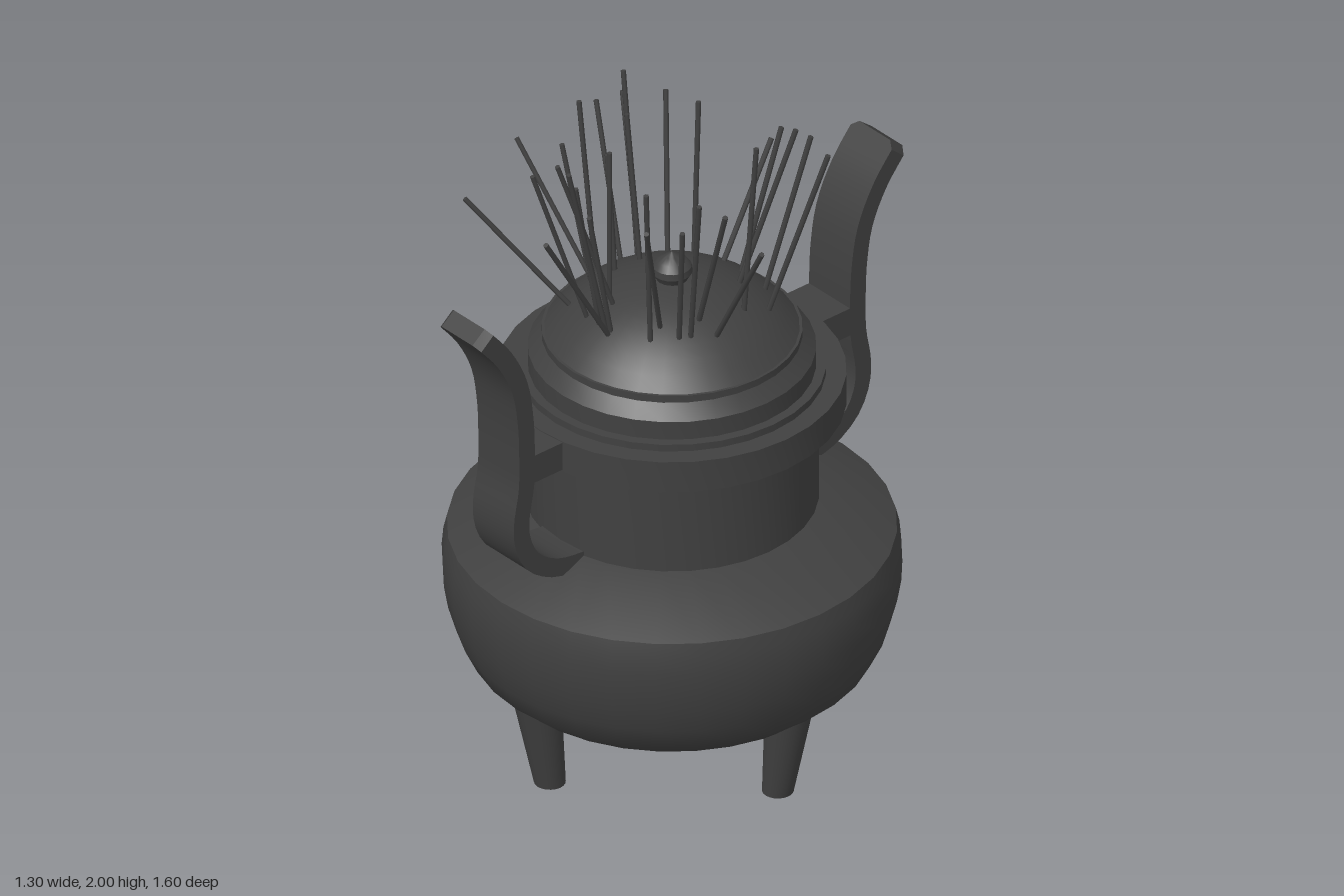
import * as THREE from 'three';
import { toCreasedNormals } from 'three/addons/utils/BufferGeometryUtils.js';

const metal = new THREE.MeshStandardMaterial({ color: 0x404040 });
const SIDES = 32;

function part(parent, name, geometry) {
  const mesh = new THREE.Mesh(geometry, metal);
  mesh.name = name;
  parent.add(mesh);
  return mesh;
}

// Turned part from [radius, height] pairs listed bottom to top
function turned(profile, sides = SIDES) {
  const pts = profile.map(([r, y]) => new THREE.Vector2(r, y));
  return toCreasedNormals(new THREE.LatheGeometry(pts, sides), 0.5);
}

// Lid dome: a shallow spherical cap
const DOME = { radius: 0.475, base: 1.33, edge: 0.36, top: 1.495 };
const domeHeight = (r) => DOME.top - DOME.radius + Math.sqrt(DOME.radius ** 2 - r * r);

// Flat strap swept along a [z, y] path, with chamfered corners at the tip
function strap(path, halfWidth, halfThick) {
  const curve = new THREE.CatmullRomCurve3(path.map(([z, y]) => new THREE.Vector3(0, y, z)));
  const stations = Array.from({ length: 33 }, (_, i) => [0.98 * i / 32, halfWidth]);
  stations.push([1, halfWidth - 0.022]);
  const pos = [];
  const index = [];
  stations.forEach(([t, w], i) => {
    const p = curve.getPointAt(t);
    const d = curve.getTangentAt(t);
    for (const [sx, sn] of [[1, 1], [1, -1], [-1, -1], [-1, 1]]) {
      pos.push(sx * w, p.y - sn * halfThick * d.z, p.z + sn * halfThick * d.y);
    }
    if (i === 0) return;
    for (let k = 0; k < 4; k++) {
      const a = (i - 1) * 4 + k;
      const b = (i - 1) * 4 + (k + 1) % 4;
      index.push(a, b, b + 4, a, b + 4, a + 4);
    }
  });
  const e = (stations.length - 1) * 4;
  index.push(e, e + 1, e + 2, e, e + 2, e + 3, 2, 1, 0, 3, 2, 0);
  const g = new THREE.BufferGeometry();
  g.setAttribute('position', new THREE.Float32BufferAttribute(pos, 3));
  g.setIndex(index);
  return toCreasedNormals(g, 0.5);
}

// Thin rod between two points
function rod(a, b, radius) {
  const dir = b.clone().sub(a);
  const g = new THREE.CylinderGeometry(radius, radius, dir.length(), 6);
  g.applyQuaternion(new THREE.Quaternion().setFromUnitVectors(
    new THREE.Vector3(0, 1, 0), dir.normalize()));
  const mid = a.clone().add(b).multiplyScalar(0.5);
  return g.translate(mid.x, mid.y, mid.z);
}

export function createModel() {
  const model = new THREE.Group();
  model.name = 'censer';

  // Round belly with a sloping shoulder
  part(model, 'belly', turned([
    [0, 0.148], [0.16, 0.15], [0.317, 0.163], [0.44, 0.2], [0.52, 0.24], [0.577, 0.29],
    [0.613, 0.365], [0.635, 0.44], [0.647, 0.51], [0.65, 0.575], [0.645, 0.63], [0.635, 0.672],
    [0.415, 0.775], [0, 0.775],
  ]));

  // Straight neck with a small lip below and above the rim
  part(model, 'neck', turned([
    [0.415, 0.76], [0.415, 1.058], [0.435, 1.058], [0.435, 1.21], [0, 1.21],
  ]));
  part(model, 'rim', turned([
    [0.43, 1.088], [0.492, 1.088], [0.492, 1.188], [0.43, 1.188],
  ]));

  // Stepped lid, dome and knob
  const lid = new THREE.Group();
  lid.name = 'lid';
  model.add(lid);
  part(lid, 'lidBase', turned([
    [0.407, 1.2], [0.407, 1.268], [0.368, 1.308], [0.368, 1.33], [0.3, 1.33],
  ]));
  const dome = Array.from({ length: 11 }, (_, i) => {
    const r = DOME.edge * (1 - i / 10);
    return [r, domeHeight(r)];
  });
  part(lid, 'dome', turned(dome));
  part(lid, 'knob', turned([
    [0.035, 1.47], [0.046, 1.495], [0.058, 1.515], [0.056, 1.535], [0.042, 1.553],
    [0.02, 1.566], [0, 1.58],
  ], 20));

  // Four legs leaning inward towards the feet
  for (let i = 0; i < 4; i++) {
    const leg = new THREE.CylinderGeometry(0.07, 0.045, 0.31, 20);
    const p = leg.attributes.position;
    for (let k = 0; k < p.count; k++) {
      const y = p.getY(k) + 0.155;
      p.setXYZ(k, p.getX(k), y, p.getZ(k) + 0.455 + 0.16 * y);
    }
    part(model, 'leg', toCreasedNormals(leg, 0.6)).rotation.y = i * Math.PI / 2;
  }

  // Upswept handles at front and back, each joined to the rim by a block
  const handlePath = [
    [0.38, 0.76], [0.43, 0.762], [0.515, 0.78], [0.592, 0.832], [0.63, 0.905], [0.636, 0.98],
    [0.618, 1.09], [0.616, 1.185], [0.621, 1.31], [0.643, 1.435], [0.697, 1.547], [0.778, 1.649],
  ];
  for (const turn of [0, Math.PI]) {
    const handle = new THREE.Group();
    handle.name = turn ? 'backHandle' : 'frontHandle';
    handle.rotation.y = turn;
    model.add(handle);
    part(handle, 'strap', strap(handlePath, 0.088, 0.029));
    part(handle, 'bracket', new THREE.BoxGeometry(0.176, 0.09, 0.18)).position.set(0, 1.14, 0.515);
  }

  // Incense sticks: tip x, tip z, tip height, and base distance as a share of the tip's
  const sticks = [
    [-0.08, -0.44, 1.735, 0.5], [0.055, -0.36, 1.87, 0.62], [0.17, -0.37, 1.89, 0.66],
    [0.175, -0.31, 1.94, 0.53], [0.325, -0.3, 1.93, 0.61], [0.23, -0.115, 1.985, 0.85],
    [0.475, 0.077, 1.83, 0.48], [0.345, 0.1, 1.9, 0.49], [0.29, 0.15, 1.93, 0.68],
    [0.265, 0.325, 1.9, 0.45], [0.27, 0.195, 1.85, 0.67], [0.16, 0.235, 1.94, 0.83],
    [0.04, 0.505, 1.83, 0.49], [0.025, 0.33, 1.84, 0.73], [-0.15, 0.39, 1.92, 0.6],
    [-0.095, 0.345, 1.96, 0.5], [-0.045, 0.32, 1.9, 0.75], [0, 0.385, 1.995, 0.63],
    [-0.4, 0.425, 1.74, 0.48], [-0.425, 0.21, 1.84, 0.5], [-0.35, 0.043, 1.93, 0.82],
    [-0.49, -0.24, 1.78, 0.65], [-0.33, -0.263, 1.85, 0.7], [-0.14, -0.22, 1.92, 0.83],
    [-0.43, -0.09, 1.84, 0.67], [-0.336, -0.11, 1.975, 0.7], [-0.234, -0.034, 1.91, 0.7],
    [-0.204, 0.064, 1.83, 0.88], [-0.077, 0.166, 1.94, 1], [-0.306, 0.145, 1.85, 0.73],
  ];
  const bundle = new THREE.Group();
  bundle.name = 'incenseSticks';
  model.add(bundle);
  for (const [x, z, y, k] of sticks) {
    const foot = new THREE.Vector3(x * k, domeHeight(k * Math.hypot(x, z)) - 0.02, z * k);
    part(bundle, 'incenseStick', rod(foot, new THREE.Vector3(x, y, z), 0.008));
  }

  return model;
}
